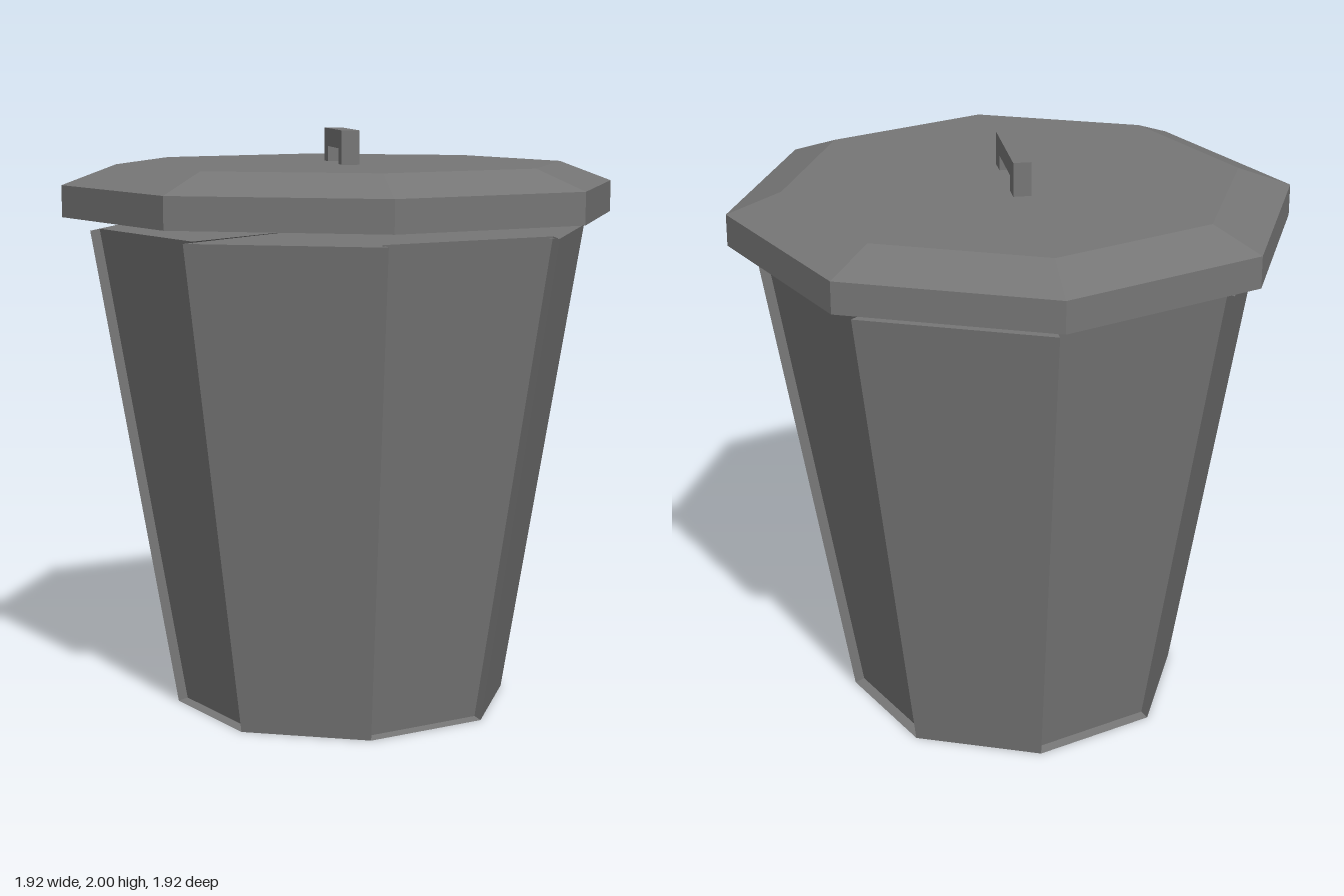
import * as THREE from 'three';

const SIDES = 8;
const grey = new THREE.MeshStandardMaterial({ color: 0x767676, flatShading: true });

function addMesh(group, name, geometry) {
  const mesh = new THREE.Mesh(geometry, grey);
  mesh.name = name;
  group.add(mesh);
}

// Tapered eight-sided bin: every second panel is pushed straight inwards
function binGeometry() {
  const bottomRadius = 0.583, topRadius = 0.866, height = 1.661, inset = 0.036;
  const tilt = Math.atan2((topRadius - bottomRadius) * Math.cos(Math.PI / SIDES), height);
  const angle = (i) => (i / SIDES) * Math.PI * 2;
  const corner = (r, y, i) => new THREE.Vector3(r * Math.cos(angle(i)), y, r * Math.sin(angle(i)));
  const floorCentre = new THREE.Vector3(0, 0, 0);
  const topCentre = new THREE.Vector3(0, height + inset * Math.sin(tilt), 0);

  // corners of one panel, before and after the inset
  const panels = Array.from({ length: SIDES }, (_, i) => {
    const depth = i % 2 === 1 ? inset : 0;
    const across = -depth * Math.cos(tilt), mid = angle(i + 0.5);
    const push = new THREE.Vector3(
      across * Math.cos(mid), depth * Math.sin(tilt), across * Math.sin(mid));
    const edge = [corner(bottomRadius, 0, i + 1), corner(bottomRadius, 0, i)];
    const face = [...edge, corner(topRadius, height, i), corner(topRadius, height, i + 1)]
      .map((p) => p.clone().add(push));
    return { edge, face };
  });

  const points = [];
  const triangle = (a, b, c) => points.push(a, b, c);
  const quad = (a, b, c, d) => points.push(a, b, c, a, c, d);

  panels.forEach(({ edge, face }, i) => {
    const next = panels[(i + 1) % SIDES].face;
    const [lowEnd, lowStart, highStart, highEnd] = face;
    quad(...face);
    // narrow step to the next panel
    quad(next[1], lowEnd, highEnd, next[2]);
    // ledge under a recessed panel
    if (i % 2 === 1) quad(edge[0], edge[1], lowStart, lowEnd);
    // floor and top
    triangle(floorCentre, edge[1], edge[0]);
    triangle(topCentre, highEnd, highStart);
    triangle(topCentre, next[2], highEnd);
  });

  const geometry = new THREE.BufferGeometry().setFromPoints(points);
  geometry.computeVertexNormals();
  return geometry;
}

// Eight-sided lid with a vertical rim and a bevelled top
function lidGeometry() {
  const profile = [[0, 1.708], [0.96, 1.708], [0.96, 1.816], [0.775, 1.885], [0, 1.885]];
  return new THREE.LatheGeometry(profile.map(([r, y]) => new THREE.Vector2(r, y)), SIDES);
}

// Square bracket handle, extruded across its width
function handleGeometry() {
  const shape = new THREE.Shape();
  [[-0.178, 1.88], [-0.108, 1.88], [-0.108, 1.938], [0.108, 1.938],
    [0.108, 1.88], [0.178, 1.88], [0.178, 2], [-0.178, 2]]
    .forEach(([x, y], i) => (i ? shape.lineTo(x, y) : shape.moveTo(x, y)));
  const width = 0.06;
  return new THREE.ExtrudeGeometry(shape, { depth: width, bevelEnabled: false })
    .translate(0, 0, -width / 2)
    .rotateY(Math.PI / 2);
}

export function createModel() {
  const group = new THREE.Group();
  group.name = 'dustbin';
  addMesh(group, 'bin', binGeometry());
  addMesh(group, 'lid', lidGeometry());
  addMesh(group, 'lidHandle', handleGeometry());
  return group;
}
